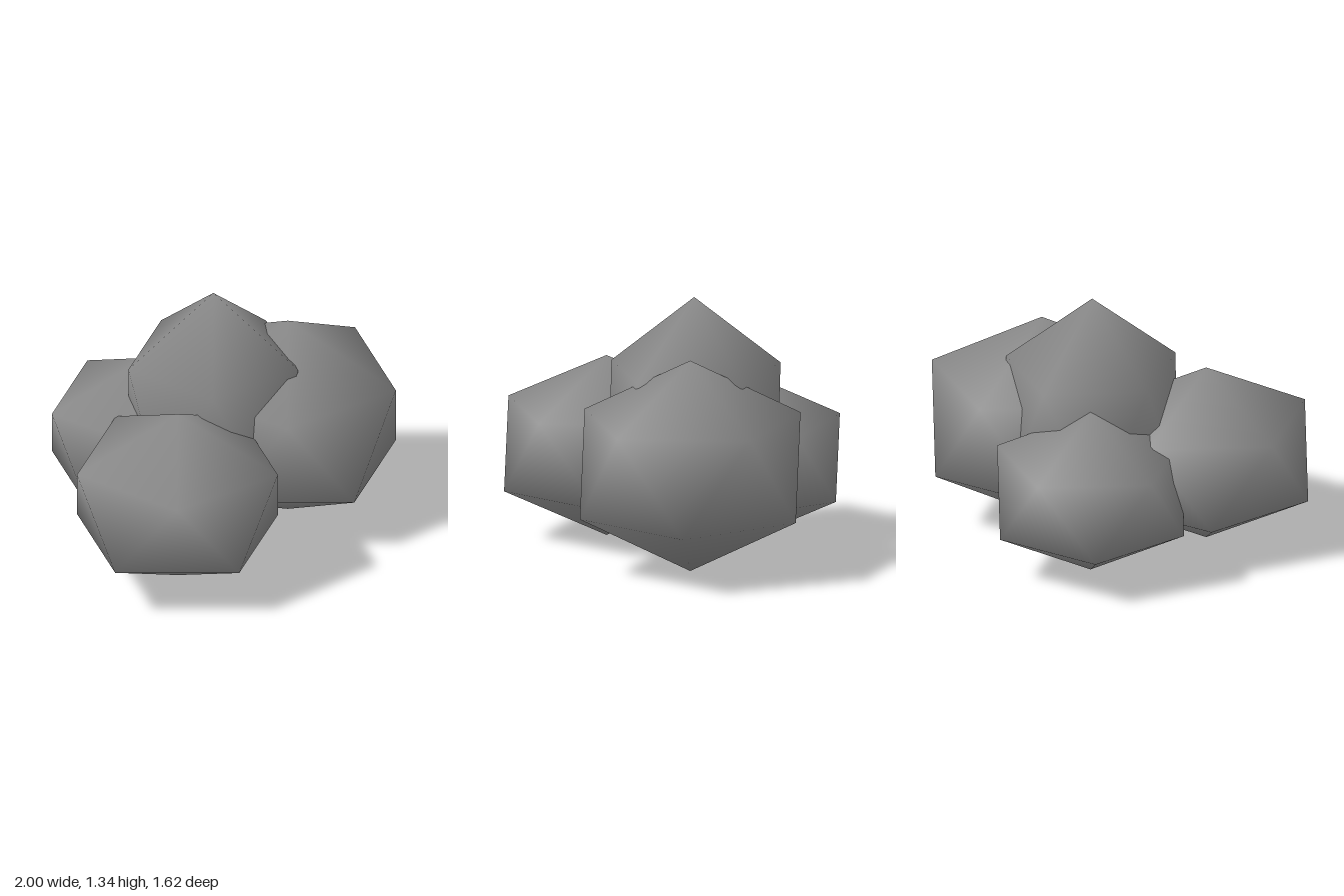
import * as THREE from 'three';

// Twenty-sided boulder: two poles and two staggered rings of five, smooth shaded
function boulderGeometry() {
  const h = 1 / Math.sqrt(5), r = 2 * h;
  const pos = [0, 1, 0, 0, -1, 0];
  for (let i = 0; i < 5; i++) {
    const a = (i * 2 * Math.PI) / 5, b = a + Math.PI / 5;
    pos.push(r * Math.cos(a), h, r * Math.sin(a));
    pos.push(r * Math.cos(b), -h, r * Math.sin(b));
  }
  const index = [];
  for (let i = 0; i < 5; i++) {
    const j = (i + 1) % 5;
    const u0 = 2 + 2 * i, l0 = u0 + 1, u1 = 2 + 2 * j, l1 = u1 + 1;
    index.push(0, u1, u0, u0, u1, l0, l0, u1, l1, 1, l0, l1);
  }
  const g = new THREE.BufferGeometry();
  g.setAttribute('position', new THREE.Float32BufferAttribute(pos, 3));
  g.setIndex(index);
  return g;
}

export function createModel() {
  const model = new THREE.Group();
  model.name = 'rockCluster';
  const stone = new THREE.MeshStandardMaterial({ color: 0x8a8a8a });
  stone.name = 'stone grey';

  // Each boulder rests on the ground: name, x, z, horizontal and vertical radius
  const boulders = [
    ['largeBoulder', 0.42, 0.26, 0.649, 0.552],
    ['rightBoulder', -0.462, 0.21, 0.602, 0.472],
    ['backBoulder', 0, -0.34, 0.552, 0.438],
    ['tallBoulder', 0.092, 0.03, 0.508, 0.67],
  ];
  for (const [name, x, z, rx, ry] of boulders) {
    const g = boulderGeometry();
    g.scale(rx, ry, rx);
    g.computeVertexNormals();
    const mesh = new THREE.Mesh(g, stone);
    mesh.name = name;
    mesh.position.set(x, ry, z);
    model.add(mesh);
  }
  return model;
}
